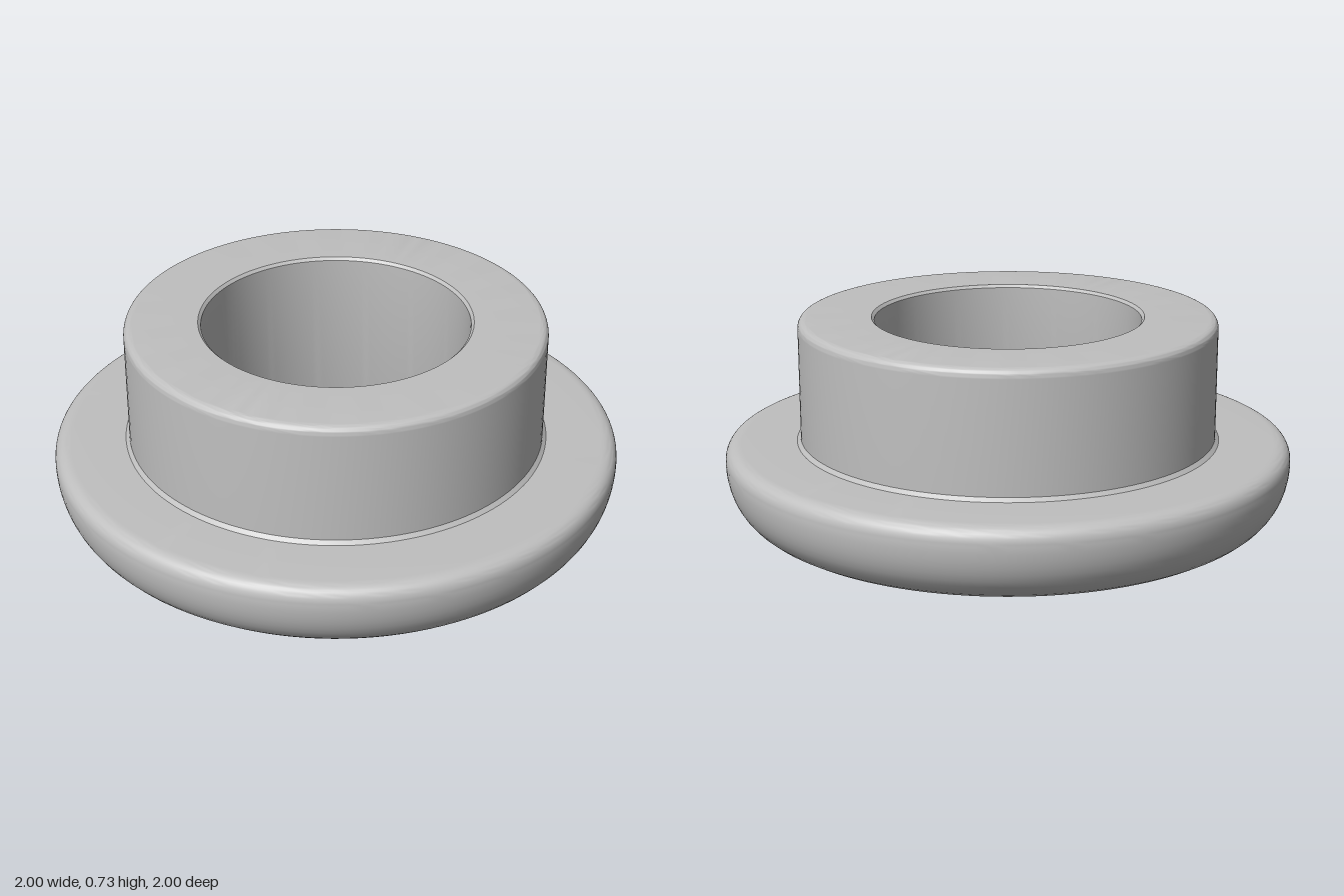
import * as THREE from 'three';
import { toCreasedNormals } from 'three/addons/utils/BufferGeometryUtils.js';

export function createModel() {
  const group = new THREE.Group();
  group.name = 'flangedBushing';

  const grey = new THREE.MeshStandardMaterial({ color: 0xbfbfbf });
  grey.name = 'grey';

  // Cross-section, outward along the base, up the outside and down the bore
  const section = new THREE.Path();
  section.moveTo(0.47, 0);
  section.lineTo(0.77, 0);
  section.bezierCurveTo(0.96, 0, 1, 0.14, 1, 0.23); // curved underside of the flange
  section.quadraticCurveTo(1, 0.29, 0.94, 0.29); // rounded flange rim
  section.lineTo(0.748, 0.29);
  section.lineTo(0.735, 0.303); // small fillet at the collar's foot
  section.lineTo(0.735, 0.695);
  section.quadraticCurveTo(0.735, 0.727, 0.703, 0.727); // rounded collar edge
  section.lineTo(0.478, 0.727);
  section.lineTo(0.468, 0.717); // eased bore edge
  section.lineTo(0.468, 0.008);
  section.lineTo(0.47, 0);

  const geometry = toCreasedNormals(
    new THREE.LatheGeometry(section.getPoints(12), 128),
    THREE.MathUtils.degToRad(30)
  );
  const body = new THREE.Mesh(geometry, grey);
  body.name = 'flangeAndCollar';
  group.add(body);

  return group;
}
